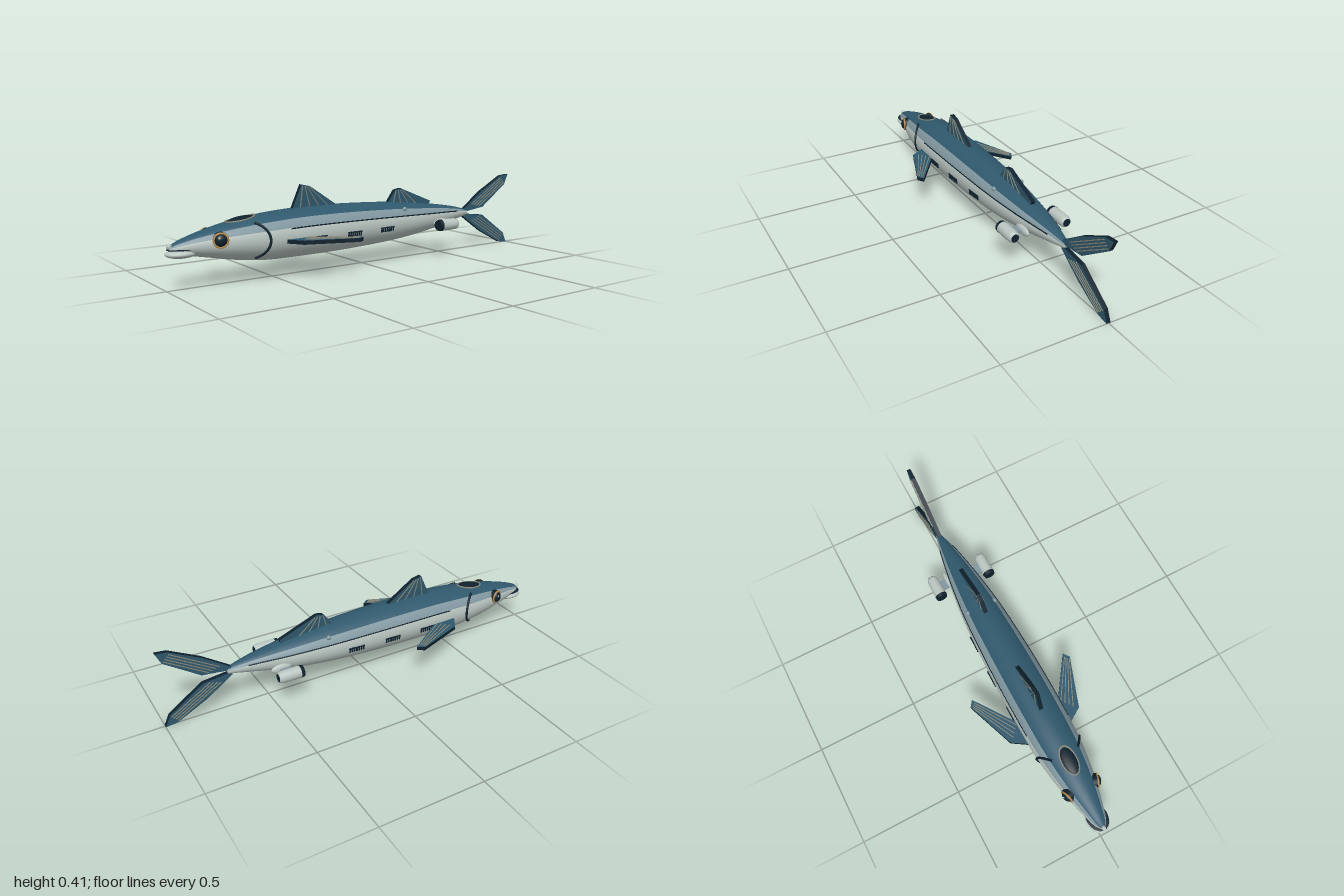
import * as THREE from 'three';

const mat = (name, color, side = THREE.FrontSide) => new THREE.MeshStandardMaterial({ name, color, side });
const back = mat('teal back', 0x2f586c);
const flank = mat('grey blue flank', 0x8197a0);
const belly = mat('pale belly', 0xb9c5c0);
const dark = mat('dark trim', 0x0f212d);
const brass = mat('brass', 0xb48a4c);
const ribGrey = mat('rib grey', 0x86877a);

// Hull stations: z, half width, top, bottom
const stations = [
  [-0.69, 0.014, 0.213, 0.182], [-0.6, 0.037, 0.236, 0.165], [-0.4, 0.075, 0.268, 0.126],
  [-0.2, 0.1, 0.29, 0.102], [0, 0.112, 0.302, 0.09], [0.2, 0.118, 0.308, 0.084],
  [0.4, 0.118, 0.306, 0.083], [0.55, 0.113, 0.296, 0.086], [0.7, 0.095, 0.276, 0.105],
  [0.8, 0.075, 0.255, 0.125], [0.9, 0.048, 0.228, 0.145], [0.96, 0.028, 0.206, 0.156],
  [0.985, 0.008, 0.19, 0.172],
];
const section = new THREE.CubicInterpolant(
  stations.map(s => s[0]), stations.flatMap(s => s.slice(1)), 3, new Float32Array(3));

// Point on the hull at station z and angle a (0 = +x, 90 degrees = top)
function hullPoint(z, a, off = 0) {
  const [w, top, bottom] = section.evaluate(z);
  return new THREE.Vector3(
    Math.cos(a) * (w + off), (top + bottom) / 2 + Math.sin(a) * ((top - bottom) / 2 + off), z);
}

function add(parent, name, geometry, material, x = 0, y = 0, z = 0) {
  const mesh = new THREE.Mesh(geometry, material);
  mesh.name = name;
  mesh.position.set(x, y, z);
  parent.add(mesh);
  return mesh;
}

const ellipsoid = (rx, ry, rz) => new THREE.SphereGeometry(1, 32, 20).scale(rx, ry, rz);
const tube = (points, r, closed = false) =>
  new THREE.TubeGeometry(new THREE.CatmullRomCurve3(points, closed), 48, r, 8, closed);

// Hull skin, with the faces sorted into back, flank and belly bands
function hullGeometry() {
  const rings = 72, sides = 48, pos = [], bands = [[], [], []];
  for (let i = 0; i <= rings; i++) {
    const z = 0.985 - 1.675 * i / rings;
    for (let j = 0; j < sides; j++) pos.push(...hullPoint(z, j / sides * Math.PI * 2).toArray());
  }
  const bandOf = j => {
    const s = Math.sin((j + 0.5) / sides * Math.PI * 2);
    return s > Math.sin(Math.PI / 4) ? 0 : s > Math.sin(Math.PI / 8) ? 1 : 2;
  };
  for (let i = 0; i < rings; i++) for (let j = 0; j < sides; j++) {
    const a = i * sides + j, b = i * sides + (j + 1) % sides;
    bands[bandOf(j)].push(a, a + sides, b + sides, a, b + sides, b);
  }
  // End caps
  for (let j = 1; j < sides - 1; j++) {
    const last = rings * sides;
    bands[0].push(0, j, j + 1);
    bands[2].push(last, last + j + 1, last + j);
  }
  const g = new THREE.BufferGeometry();
  g.setAttribute('position', new THREE.Float32BufferAttribute(pos, 3));
  g.setIndex(bands.flat());
  let start = 0;
  bands.forEach((b, k) => { g.addGroup(start, b.length, k); start += b.length; });
  g.computeVertexNormals();
  return g;
}

// Plate fin drawn in its own plane, with raised ribs running from root to tip
function makeFin(name, outline, root, tip, ribs, thick = 0.02) {
  const fin = new THREE.Group();
  fin.name = name;
  const shape = new THREE.Shape(outline.map(p => new THREE.Vector2(...p)));
  const plate = new THREE.ExtrudeGeometry(shape, { depth: thick, bevelEnabled: false });
  add(fin, 'finPlate', plate.translate(0, 0, -thick / 2), [back, dark]);
  const [r0, r1, t0, t1] = [...root, ...tip].map(p => new THREE.Vector2(...p));
  for (let k = 0; k < ribs; k++) {
    const t = (k + 0.5) / ribs;
    const a = r0.clone().lerp(r1, t), b = t0.clone().lerp(t1, t), d = b.clone().sub(a);
    const rib = add(fin, 'finRib', new THREE.BoxGeometry(d.length() * 0.94, 0.004, thick + 0.006),
      ribGrey, (a.x + b.x) / 2, (a.y + b.y) / 2, 0);
    rib.rotation.z = d.angle();
  }
  return fin;
}

export function createModel() {
  const model = new THREE.Group();
  model.name = 'fishSubmarine';
  add(model, 'hull', hullGeometry(), [back, flank, belly]);

  // Mouth and snout
  add(model, 'lowerJaw', ellipsoid(0.052, 0.02, 0.07), belly, 0, 0.158, 0.93);
  add(model, 'mouthLine', ellipsoid(0.05, 0.004, 0.065), dark, 0, 0.177, 0.928);
  add(model, 'snoutLamp', ellipsoid(0.01, 0.014, 0.012), belly, 0, 0.192, 0.982);

  // Top window and its rim
  const rim = [];
  for (let k = 0; k < 24; k++) {
    const t = k / 24 * Math.PI * 2, z = 0.655 + 0.07 * Math.sin(t);
    const x = 0.036 * Math.cos(t);
    rim.push(hullPoint(z, Math.acos(x / section.evaluate(z)[0]), 0.001));
  }
  add(model, 'windowRim', tube(rim, 0.004, true), ribGrey);
  const pane = add(model, 'topWindow', ellipsoid(0.036, 0.016, 0.071), dark, 0, 0.275, 0.655);
  pane.rotation.x = 0.14;

  // Dorsal and tail fins, outlined in z and y
  const upright = [
    makeFin('frontDorsalFin', [[0.4, 0.29], [0.345, 0.412], [0.3, 0.402], [0.13, 0.29]],
      [[0.38, 0.3], [0.17, 0.3]], [[0.345, 0.41], [0.3, 0.4]], 4),
    makeFin('rearDorsalFin', [[-0.14, 0.27], [-0.2, 0.35], [-0.235, 0.357], [-0.43, 0.28], [-0.42, 0.25]],
      [[-0.16, 0.28], [-0.36, 0.27]], [[-0.2, 0.35], [-0.25, 0.35]], 4),
  ];
  for (const s of [1, -1]) {
    const m = pts => pts.map(([z, y]) => [z, 0.195 + s * (y - 0.195)]);
    upright.push(makeFin(s > 0 ? 'upperTailFin' : 'lowerTailFin',
      m([[-0.67, 0.2], [-0.67, 0.216], [-0.8, 0.305], [-0.945, 0.38], [-1, 0.386], [-0.975, 0.332], [-0.81, 0.217]]),
      m([[-0.71, 0.235], [-0.78, 0.215]]), m([[-0.945, 0.378], [-0.98, 0.34]]), 4));
  }
  for (const fin of upright) {
    fin.rotation.y = -Math.PI / 2;
    model.add(fin);
  }

  for (const s of [1, -1]) {
    const side = s > 0 ? 'left' : 'right';
    const on = (z, a, off) => { const p = hullPoint(z, a, off); p.x *= s; return p; };

    // Pectoral fin, outlined in x and z
    const m = pts => pts.map(([x, z]) => [s * x, z]);
    const pectoral = makeFin(side + 'PectoralFin',
      m([[0.09, 0.49], [0.115, 0.485], [0.185, 0.44], [0.272, 0.2], [0.25, 0.17], [0.12, 0.355], [0.09, 0.38]]),
      m([[0.165, 0.44], [0.11, 0.375]]), m([[0.27, 0.205], [0.25, 0.18]]), 4, 0.018);
    pectoral.rotation.x = Math.PI / 2;
    pectoral.position.y = 0.178;
    model.add(pectoral);

    // Eye
    const eye = new THREE.Group();
    eye.name = side + 'Eye';
    eye.position.copy(on(0.785, 0.27, 0.004));
    eye.rotation.y = s * 1.25;
    add(eye, 'eyeSocket', new THREE.CylinderGeometry(0.034, 0.034, 0.024, 32).rotateX(Math.PI / 2), dark, 0, 0, -0.012);
    add(eye, 'eyeRing', new THREE.TorusGeometry(0.03, 0.005, 10, 36), brass);
    add(eye, 'eyeball', ellipsoid(0.027, 0.027, 0.018), dark);
    add(eye, 'eyeGlint', ellipsoid(0.005, 0.005, 0.003), belly, -0.008, 0.011, 0.015);
    model.add(eye);

    // Gill seam and lateral line
    const gill = [], line = [];
    for (let k = -8; k <= 8; k++) {
      const a = k / 8;
      gill.push(on(0.565 + 0.055 * a * a, a * 0.9, 0.002));
      line.push(on(-0.07 + 0.53 * a, 0.36, 0));
    }
    add(model, side + 'GillSeam', tube(gill, 0.006), dark);
    add(model, side + 'LateralLine', tube(line, 0.003), dark);

    // Side vents
    for (const z0 of [0.32, 0.12, -0.078]) {
      const vent = new THREE.Group();
      vent.name = side + 'Vent';
      for (let k = -3; k <= 3; k++) {
        const p = on(z0 + k * 0.012, -0.18, 0);
        add(vent, 'ventSlat', new THREE.BoxGeometry(0.008, 0.024, 0.006), dark, p.x, p.y, p.z);
      }
      const p = on(z0, -0.1, 0);
      add(vent, 'ventLip', new THREE.BoxGeometry(0.01, 0.004, 0.084), dark, p.x, p.y, p.z);
      model.add(vent);
    }

    // Flank knob
    const k = on(-0.21, 0.75, 0.002);
    add(model, side + 'Knob', ellipsoid(0.01, 0.01, 0.012), flank, k.x, k.y, k.z);

    // Engine pod with dark intake, nozzle and strut
    const pod = new THREE.Group();
    pod.name = side + 'EnginePod';
    pod.position.set(s * 0.135, 0.17, -0.44);
    const profile = [[0.017, -0.062], [0.024, -0.058], [0.028, -0.045], [0.029, 0], [0.029, 0.045]];
    add(pod, 'podShell', new THREE.LatheGeometry(profile.map(p => new THREE.Vector2(...p)), 28).rotateX(Math.PI / 2), belly);
    add(pod, 'intake', new THREE.CylinderGeometry(0.027, 0.03, 0.017, 28).rotateX(Math.PI / 2), dark, 0, 0, 0.053);
    add(pod, 'nozzle', new THREE.CylinderGeometry(0.019, 0.019, 0.006, 28).rotateX(Math.PI / 2), dark, 0, 0, -0.059);
    add(pod, 'strut', new THREE.BoxGeometry(0.06, 0.01, 0.05), flank, -s * 0.045, 0, 0);
    add(pod, 'strutFairing', ellipsoid(0.014, 0.022, 0.05), belly, -s * 0.067, 0, -0.015);
    model.add(pod);
  }
  return model;
}
